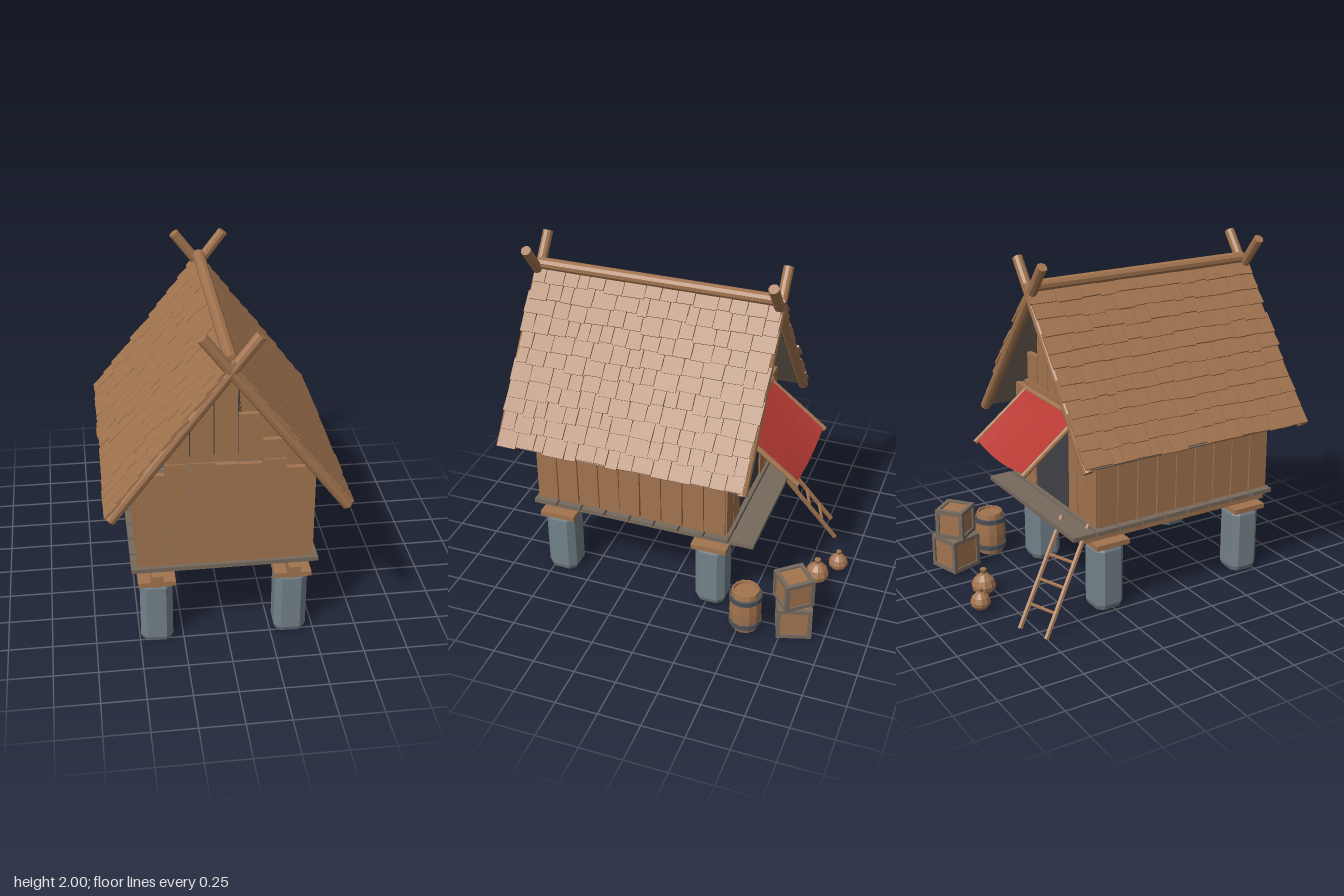
import * as THREE from 'three';
import { mergeGeometries } from 'three/addons/utils/BufferGeometryUtils.js';

const V = (x, y, z) => new THREE.Vector3(x, y, z);

export function createModel() {
  const model = new THREE.Group();
  model.name = 'stiltHut';
  const mat = (name, color, extra = {}) => {
    const m = new THREE.MeshStandardMaterial({ color, ...extra });
    m.name = name;
    return m;
  };
  const wood = mat('wood', 0xa2744f);
  const agedWood = mat('agedWood', 0x776a5e);
  const stone = mat('stone', 0x74828a);
  const iron = mat('iron', 0x4c5158);
  const dark = mat('doorDark', 0x414146);
  const red = mat('redCloth', 0xb83a34, { side: THREE.DoubleSide });

  let seed = 7;
  const rnd = (a, b) => {
    seed = (seed * 16807) % 2147483647;
    return a + (b - a) * (seed / 2147483647);
  };

  // Helpers: boxes, rods between two points, and faceted merged parts
  const box = (w, h, d, x, y, z, rx = 0, ry = 0, rz = 0) =>
    new THREE.BoxGeometry(w, h, d).applyMatrix4(new THREE.Matrix4()
      .makeRotationFromEuler(new THREE.Euler(rx, ry, rz)).setPosition(x, y, z));
  const rod = (a, b, r, sides = 8) => {
    const dir = b.clone().sub(a);
    const q = new THREE.Quaternion().setFromUnitVectors(V(0, 1, 0), dir.clone().normalize());
    return new THREE.CylinderGeometry(r, r, dir.length(), sides)
      .applyQuaternion(q).translate((a.x + b.x) / 2, (a.y + b.y) / 2, (a.z + b.z) / 2);
  };
  const part = (name, material, geos, parent = model) => {
    const g = mergeGeometries(geos.map(o => (o.index ? o.toNonIndexed() : o)));
    g.computeVertexNormals();
    const m = new THREE.Mesh(g, material);
    m.name = name;
    parent.add(m);
    return m;
  };

  // Stone piers with chamfered edges, wooden caps and the two long beams
  const h = 0.05, c = 0.03;
  const pierShape = new THREE.Shape([[-h, -h - c], [h, -h - c], [h + c, -h], [h + c, h],
    [h, h + c], [-h, h + c], [-h - c, h], [-h - c, -h]].map(p => new THREE.Vector2(...p)));
  const piers = [], caps = [], beams = [];
  for (const x of [-0.4, 0.365]) {
    for (const z of [0.69, -0.27]) {
      piers.push(new THREE.ExtrudeGeometry(pierShape, {
        depth: 0.34, bevelThickness: 0.03, bevelSize: 0.012, bevelSegments: 1,
      }).rotateX(-Math.PI / 2).rotateY(rnd(-0.05, 0.05)).translate(x, 0.04, z));
      caps.push(box(0.21, 0.03, 0.215, x, 0.422, z));
    }
    beams.push(box(0.066, 0.07, 1.26, x, 0.47, 0.21));
  }
  part('stonePiers', stone, piers);
  part('pierCaps', wood, caps);
  part('floorBeams', wood, beams);

  // Floor slats running across, reaching out as a porch at the back
  const slats = [];
  for (let i = 0; i < 9; i++) {
    slats.push(box(1.04, 0.025, 0.142, -0.02, 0.533, 0.745 - i * 0.153, 0, rnd(-0.005, 0.005)));
  }
  part('floorSlats', agedWood, slats);

  // Side walls
  for (const [name, x] of [['leftWall', 0.455], ['rightWall', -0.49]]) {
    const planks = [];
    for (let i = 0; i < 9; i++) {
      planks.push(box(0.03, 0.58, 0.124, x, 0.84, 0.733 - i * 0.13, rnd(-0.012, 0.012)));
    }
    part(name, wood, planks);
  }

  // Front wall and both stepped gables
  const plank = (x, w, y0, y1, z) =>
    box(w, y1 - y0, 0.03, x, (y0 + y1) / 2, z, 0, 0, rnd(-0.012, 0.012));
  const frontTops = [1.13, 1.19, 1.19, 1.175, 1.17, 1.19, 1.13];
  part('frontWall', wood, frontTops.map((t, i) => plank(-0.41 + i * 0.13, 0.123, 0.55, t, 0.785)));
  const gable = (name, z, tops) => part(name, wood,
    tops.map((t, i) => plank(-0.275 + i * 0.128, 0.12, 1.195, t, z)));
  gable('frontGable', 0.785, [1.36, 1.525, 1.675, 1.47, 1.31]);
  gable('backGable', -0.365, [1.34, 1.52, 1.64, 1.53, 1.37]);

  // Back wall around the dark doorway
  const back = [[-0.45, 1.14], [-0.345, 1.18], [-0.24, 1.19], [0.28, 1.19], [0.4, 1.14]]
    .map(([x, t]) => plank(x, x > 0 ? 0.115 : 0.1, 0.55, t, -0.365));
  back.push(box(0.43, 0.08, 0.03, 0.018, 1.15, -0.365));
  part('backWall', wood, back);
  part('doorway', dark, [box(0.43, 0.57, 0.02, 0.018, 0.83, -0.36)]);

  // Roof: each side is a deck with overlapping rows of shingles
  const slope = Math.atan2(1.01, 0.77), apex = V(-0.015, 1.79, 0.21);
  for (const [name, turn] of [['roofLeft', 0], ['roofRight', Math.PI]]) {
    const side = new THREE.Group(), tilt = new THREE.Group();
    side.name = name;
    tilt.name = name + 'Slope';
    side.position.copy(apex);
    side.rotation.y = turn;
    tilt.rotation.z = -slope;
    side.add(tilt);
    model.add(side);
    part('roofDeck', agedWood, [box(1.03, 0.018, 1.46, 0.515, 0.003, 0)], tilt);
    const shingles = [];
    for (let row = 0; row < 11; row++) {
      let z = -0.74 + rnd(-0.02, 0.01);
      while (z < 0.7) {
        let w = rnd(0.06, 0.14);
        if (z + w > 0.68) w = 0.75 + rnd(-0.015, 0.01) - z;
        shingles.push(box(0.13, 0.015, w - 0.004, 0.968 - row * 0.0965 + rnd(-0.009, 0.009),
          0.026 + rnd(0, 0.004), z + w / 2, 0, rnd(-0.03, 0.03), 0.1));
        z += w;
      }
    }
    part('shingles', wood, shingles, tilt);
  }

  // Ridge log and crossed gable logs
  part('ridgeLog', wood, [rod(V(-0.015, 1.845, -0.5), V(-0.015, 1.845, 0.93), 0.035, 10)]);
  const logs = [];
  for (const z of [0.938, -0.512]) {
    for (const s of [-1, 1]) {
      const at = d => V(apex.x + s * d * Math.cos(slope), apex.y - d * Math.sin(slope), z);
      logs.push(rod(at(1.04), at(-0.242), 0.03, 10));
    }
  }
  part('crossedGableLogs', wood, logs);

  // Awning: poles, top bar and sagging cloth
  const a = V(0, 1.15, -0.39), b = V(0, 0.875, -0.74);
  part('awningPoles', wood, [
    ...[-0.32, 0.285].map(x => rod(V(x, a.y, a.z), V(x, b.y, b.z), 0.016)),
    rod(V(-0.34, 1.15, -0.395), V(0.305, 1.15, -0.395), 0.016),
  ]);
  const cloth = new THREE.PlaneGeometry(0.6, 1, 6, 4);
  const p = cloth.attributes.position;
  for (let i = 0; i < p.count; i++) {
    const t = 0.5 - p.getY(i), u = p.getX(i) / 0.3;
    p.setXYZ(i, -0.018 - p.getX(i), 1.155 - 0.265 * t - 0.035 * t * (1 - u * u), -0.4 - 0.33 * t);
  }
  part('awningCloth', red, [cloth]);

  // Ladder leaning on the porch
  const foot = V(-0.6, 0.012, -0.76), top = V(-0.45, 0.56, -0.4), across = V(0.18, 0, -0.07);
  const ladder = [rod(foot, top, 0.015, 6), rod(foot.clone().add(across), top.clone().add(across), 0.015, 6)];
  for (const t of [0.22, 0.44, 0.66, 0.88]) {
    const r = foot.clone().lerp(top, t);
    ladder.push(rod(r, r.clone().add(across), 0.01, 6));
  }
  part('ladder', wood, ladder);

  // Barrel with iron hoops
  const lathe = (pts, sides) => new THREE.LatheGeometry(pts.map(q => new THREE.Vector2(...q)), sides);
  const barrel = new THREE.Group();
  barrel.name = 'barrel';
  barrel.position.set(0.565, 0, -0.535);
  model.add(barrel);
  part('barrelBody', wood, [lathe([[0, 0.012], [0.078, 0.012], [0.092, 0.08], [0.096, 0.147],
    [0.092, 0.215], [0.08, 0.282], [0.07, 0.282], [0.068, 0.265], [0, 0.265]], 12)], barrel);
  part('barrelHoops', iron, [0.06, 0.235].map(y => lathe([[0.085, y - 0.014], [0.099, y - 0.014],
    [0.099, y + 0.014], [0.085, y + 0.014]], 12)), barrel);

  // Crates: panelled cubes with a frame along every edge
  const crate = (name, s, x, y, z, turn) => {
    const g = new THREE.Group(), f = 0.024, e = (s - f) / 2, bars = [];
    g.name = name;
    g.position.set(x, y + s / 2, z);
    g.rotation.y = turn;
    for (const i of [-e, e]) {
      for (const j of [-e, e]) {
        bars.push(box(s, f, f, 0, i, j), box(f, s, f, i, 0, j), box(f, f, s, i, j, 0));
      }
    }
    part('cratePanels', wood, [box(s - 0.02, s - 0.02, s - 0.02, 0, 0, 0)], g);
    part('crateFrame', agedWood, bars, g);
    model.add(g);
  };
  crate('lowerCrate', 0.205, 0.49, 0.012, -0.805, 0.3);
  crate('upperCrate', 0.18, 0.495, 0.218, -0.8, 0.7);

  // Tied sacks
  const sack = (name, r, x, z) => {
    const m = part(name, wood, [lathe([[0, 0.15], [0.6, 0.2], [0.95, 0.6], [1, 0.95], [0.8, 1.45],
      [0.4, 1.82], [0.2, 1.92], [0.28, 2.3], [0, 2.35]].map(q => [q[0] * r, q[1] * r]), 10)]);
    m.position.set(x, 0.012, z);
  };
  sack('smallSack', 0.06, -0.112, -0.925);
  sack('largeSack', 0.073, 0.045, -0.83);

  return model;
}
